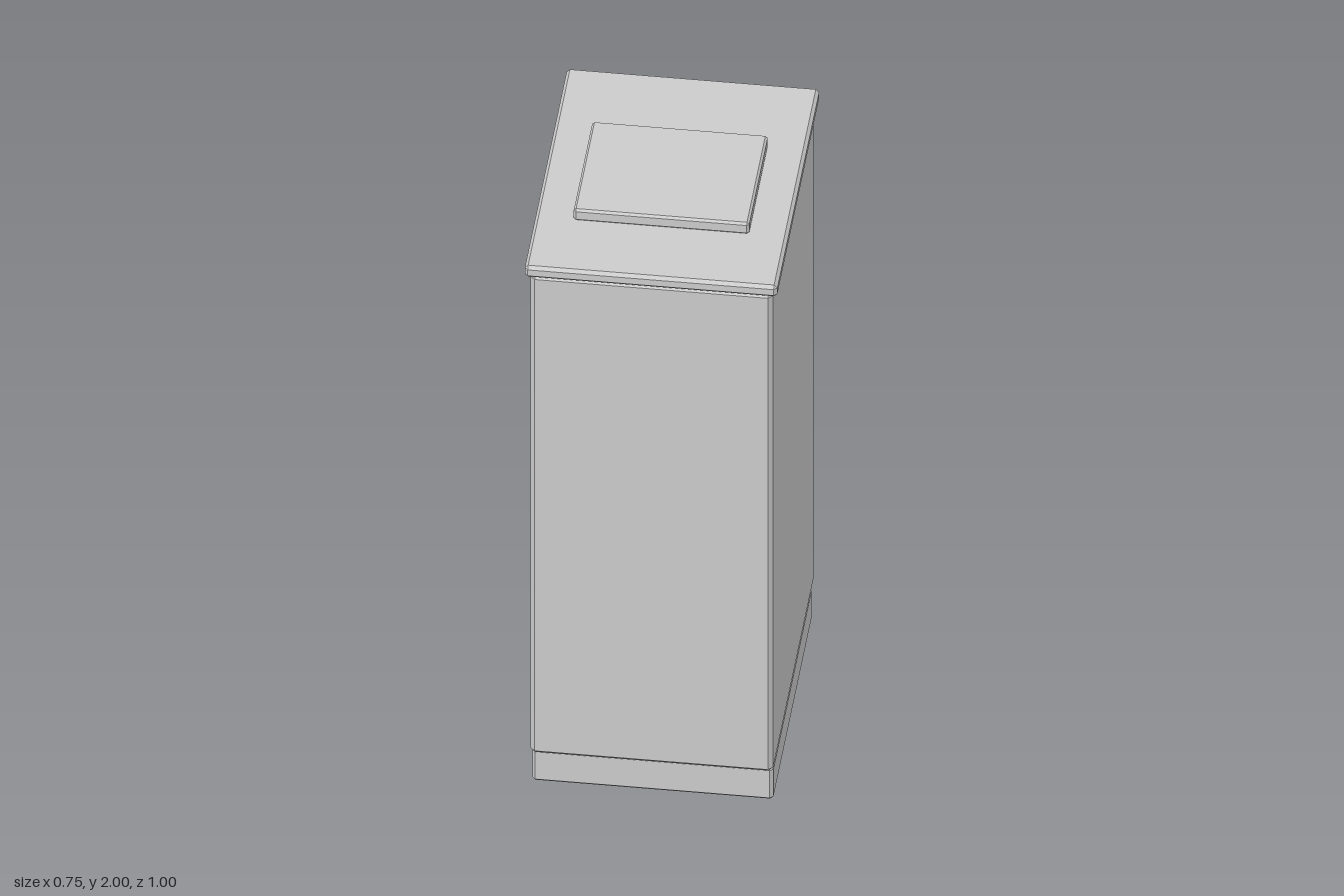
import * as THREE from 'three';
import { ConvexGeometry } from 'three/addons/geometries/ConvexGeometry.js';

const material = new THREE.MeshStandardMaterial({ color: 0xcccccc });

// Box with chamfered edges, given by its min and max on each axis
function chamferBox(name, [x0, x1], [y0, y1], [z0, z1], bevel) {
  const half = [(x1 - x0) / 2, (y1 - y0) / 2, (z1 - z0) / 2];
  const points = [];
  for (const sx of [-1, 1]) for (const sy of [-1, 1]) for (const sz of [-1, 1]) {
    for (let axis = 0; axis < 3; axis++) {
      // each corner becomes three points, one on each adjoining face
      const p = half.map((h, i) => (i === axis ? h : h - bevel));
      points.push(new THREE.Vector3(sx * p[0], sy * p[1], sz * p[2]));
    }
  }
  const mesh = new THREE.Mesh(new ConvexGeometry(points), material);
  mesh.position.set((x0 + x1) / 2, (y0 + y1) / 2, (z0 + z1) / 2);
  mesh.name = name;
  return mesh;
}

// Smooth domed knob, turned so that it points to -z
function createKnob() {
  const profile = [[0, 0], [0.022, 0], [0.022, 0.006], [0.036, 0.008], [0.042, 0.012],
    [0.042, 0.015], [0.037, 0.020], [0.027, 0.0245], [0.014, 0.027], [0, 0.028]]
    .map(([r, h]) => new THREE.Vector2(r, h));
  const knob = new THREE.Mesh(new THREE.LatheGeometry(profile, 32), material);
  knob.rotation.x = -Math.PI / 2;
  knob.name = 'knob';
  return knob;
}

// Drawer front with label plate and knob, centred on height y
function createDrawer(y) {
  const drawer = new THREE.Group();
  drawer.name = 'drawer';
  const knob = createKnob();
  knob.position.set(0, y - 0.029, -0.472);
  drawer.add(
    chamferBox('drawerFront', [-0.32, 0.32], [y - 0.194, y + 0.194], [-0.474, -0.445], 0.008),
    chamferBox('labelPlate', [-0.073, 0.073], [y + 0.066, y + 0.135], [-0.482, -0.47], 0.002),
    knob
  );
  return drawer;
}

export function createModel() {
  const cabinet = new THREE.Group();
  cabinet.name = 'filingCabinet';

  // Carcass
  cabinet.add(
    chamferBox('plinth', [-0.36, 0.36], [0, 0.122], [-0.425, 0.46], 0.01),
    chamferBox('body', [-0.362, 0.362], [0.122, 1.918], [-0.457, 0.486], 0.014),
    chamferBox('top', [-0.377, 0.377], [1.917, 1.959], [-0.471, 0.5], 0.01),
    chamferBox('topSlab', [-0.262, 0.262], [1.958, 2], [-0.173, 0.26], 0.007)
  );

  // Four drawers facing -z
  for (let i = 0; i < 4; i++) cabinet.add(createDrawer(0.381 + i * 0.43));

  return cabinet;
}
